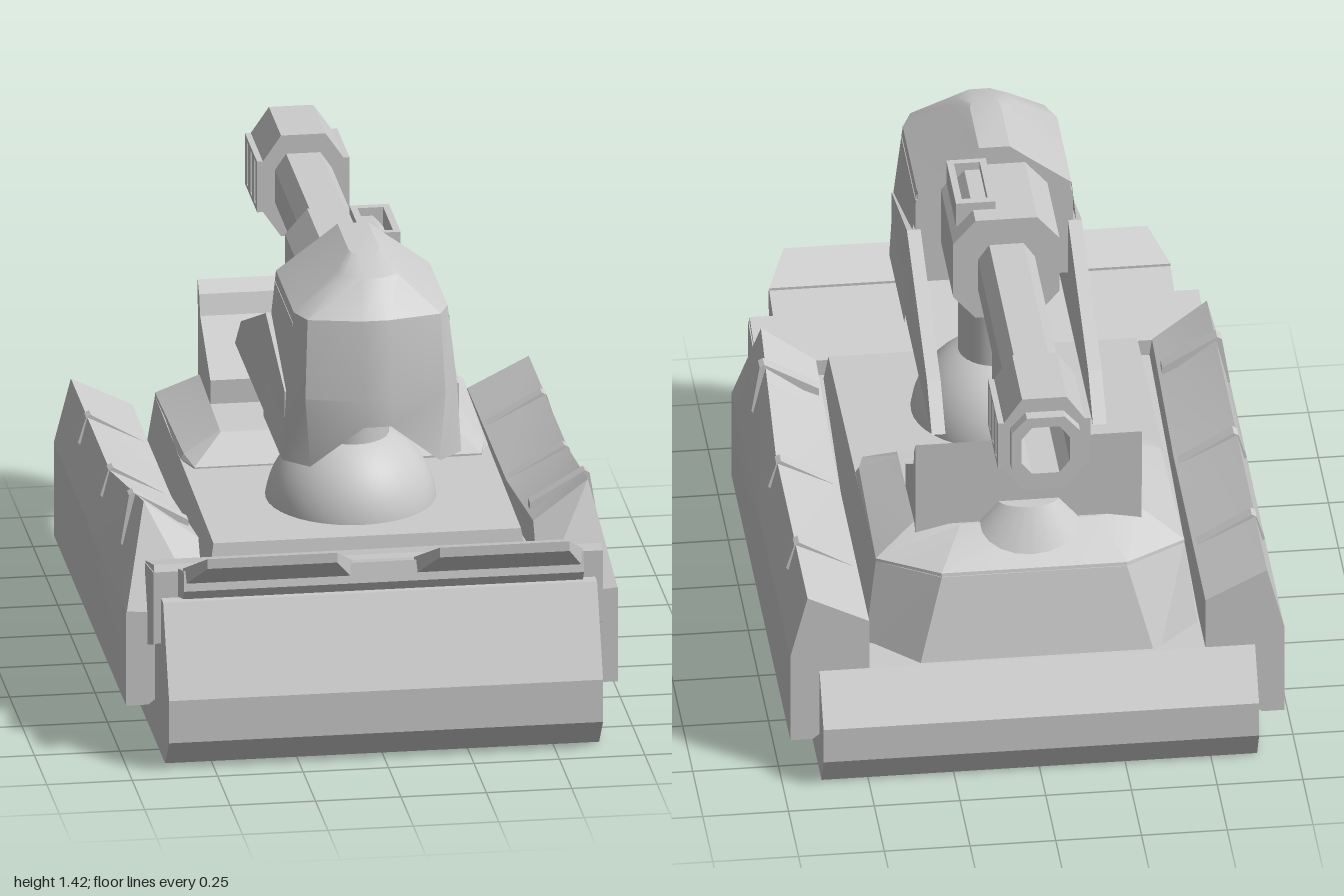
import * as THREE from 'three';
import { toCreasedNormals } from 'three/addons/utils/BufferGeometryUtils.js';

const mat = new THREE.MeshStandardMaterial({ color: 0xcccccc, side: THREE.DoubleSide });

export function createModel() {
  const root = new THREE.Group();
  const add = (name, geo, x = 0, y = 0, z = 0) => {
    const m = new THREE.Mesh(geo, mat);
    m.name = name;
    m.position.set(x, y, z);
    root.add(m);
    return m;
  };
  const box = (w, h, d) => new THREE.BoxGeometry(w, h, d);
  const shape = (pts) => new THREE.Shape(pts.map((p) => new THREE.Vector2(p[0], p[1])));
  const hole = (pts) => new THREE.Path(pts.map((p) => new THREE.Vector2(p[0], p[1])));
  const extrude = (s, depth) => new THREE.ExtrudeGeometry(s, { depth, bevelEnabled: false });
  // [z, y] outline swept along x, and [x, y] outline swept along z
  const prismX = (s, x0, x1) => extrude(s, x1 - x0).rotateY(-Math.PI / 2).translate(x1, 0, 0);
  const prismZ = (s, z0, z1) => extrude(s, z1 - z0).translate(0, 0, z0);
  // closed cross-section loops joined in order, wound outward
  const loft = (rings, crease = 0.25, open = false) => {
    const n = rings[0].length, idx = [];
    const v = rings.flat().map((p) => new THREE.Vector3(...p));
    for (let r = 0; r < rings.length - 1; r++) {
      for (let i = 0; i < (open ? n - 1 : n); i++) {
        const a = r * n + i, b = r * n + (i + 1) % n;
        idx.push(a, b, b + n, a, b + n, a + n);
      }
    }
    const last = (rings.length - 1) * n;
    for (let i = 1; i < n - 1; i++) {
      idx.push(0, i + 1, i);
      if (!open) idx.push(last, last + i, last + i + 1);
    }
    const c = v.reduce((s, p) => s.add(p), new THREE.Vector3()).divideScalar(v.length);
    const d = v.map((p) => p.clone().sub(c));
    let vol = 0;
    for (let i = 0; i < idx.length; i += 3) {
      vol += d[idx[i]].dot(d[idx[i + 1]].clone().cross(d[idx[i + 2]]));
    }
    if (vol < 0) idx.reverse();
    const g = new THREE.BufferGeometry().setFromPoints(v);
    g.setIndex(idx);
    return toCreasedNormals(g, crease);
  };
  // box outline with chamfered corners: w, h half sizes; fx, fy half lengths of the flats
  const octagon = (w, h, fx, fy, cy) => [[w, -fy], [w, fy], [fx, h], [-fx, h],
    [-w, fy], [-w, -fy], [-fx, -h], [fx, -h]].map(([x, y]) => [x, y + cy]);
  const mirrorLoop = (half) => [...half, ...half.slice().reverse().map(([x, y, z]) => [-x, y, z])];

  // Hull
  add('hull', prismX(shape([[0.87, 0], [0.95, 0.09], [0.95, 0.22], [0.83, 0.48], [0.6, 0.48],
    [-0.6, 0.34], [-0.79, 0.34], [-0.89, 0.2], [-0.89, 0.09], [-0.84, 0]]), -0.635, 0.635));

  // Deck with a raised rear platform
  add('deck', loft([
    mirrorLoop([[0.49, 0.3, 0.61], [0.49, 0.3, -0.65], [0.35, 0.3, -0.79]]),
    mirrorLoop([[0.45, 0.56, 0.57], [0.45, 0.59, -0.61], [0.27, 0.59, -0.72]]),
  ]));
  add('rearPlatform', loft([
    mirrorLoop([[0.42, 0.56, -0.02], [0.45, 0.58, -0.1], [0.45, 0.58, -0.61], [0.27, 0.58, -0.72]]),
    mirrorLoop([[0.42, 0.58, -0.02], [0.44, 0.595, -0.1], [0.45, 0.6, -0.61], [0.27, 0.6, -0.715]]),
    mirrorLoop([[0.33, 0.65, -0.115], [0.33, 0.652, -0.14], [0.33, 0.675, -0.54], [0.2, 0.68, -0.58]]),
  ]));
  add('rearFin', prismX(shape([[-0.32, 0.62], [-0.32, 0.735], [-0.525, 0.86], [-0.545, 0.92],
    [-0.575, 0.955], [-0.57, 0.62]]), -0.33, 0.33));
  add('rearMound', new THREE.CylinderGeometry(0.09, 0.21, 0.14, 24), 0, 0.675, -0.56).scale.z = 0.6;

  // Side skirts with straps
  for (const s of [1, -1]) {
    const section = (z, top, xTop, inner) => [[0.63, 0.13], [0.655, 0.11], [0.72, 0.11], [0.72, 0.395],
      [xTop, top], [0.49, inner], [0.49, 0.3], [0.63, 0.3]].map(([x, y]) => [x * s, y, z]);
    add('sideSkirt', loft([section(-0.79, 0.59, 0.67, 0.5), section(0, 0.59, 0.67, 0.5),
      section(0.54, 0.69, 0.65, 0.57), section(0.67, 0.4, 0.718, 0.38)]));
    for (const [z, top] of [[0.39, 0.662], [-0.025, 0.59], [-0.475, 0.59]]) {
      const strap = shape([[0.5, 0.48], [0.69, 0.505], [0.698, 0.515], [0.674, top],
        [0.66, top + 0.008], [0.5, top - 0.085]].map(([x, y]) => [x * s, y]));
      add('skirtStrap', prismZ(strap, z - 0.02, z + 0.02));
    }
  }

  // Front beam, its end brackets and the split front lip
  add('frontBeam', prismX(shape([[0.6, 0.53], [0.78, 0.58], [0.79, 0.56], [0.79, 0.47], [0.6, 0.47]]),
    -0.655, 0.655));
  add('lipBase', prismX(shape([[0.78, 0.48], [0.89, 0.51], [0.91, 0.54], [0.9, 0.6], [0.78, 0.565]]),
    -0.585, 0.585));
  for (const s of [1, -1]) {
    add('beamBracket', prismX(shape([[0.79, 0.56], [0.79, 0.34], [0.67, 0.295], [0.62, 0.3], [0.62, 0.53]]),
      s * 0.64 - 0.018, s * 0.64 + 0.018));
    const lip = (z, x0, x1, y0, y1) => [[x0, y0], [x1, y0], [x1, y1], [x0, y1]].map(([x, y]) => [x * s, y, z]);
    add('frontLip', loft([lip(0.89, 0.09, 0.585, 0.55, 0.605), lip(1, 0.15, 0.53, 0.64, 0.67)]));
  }

  // Turret mount
  add('mountDome', new THREE.SphereGeometry(0.25, 40, 20, 0, Math.PI * 2, 0, Math.PI / 2), 0, 0.54, 0.235);
  add('neck', new THREE.CylinderGeometry(0.11, 0.11, 0.32, 32), 0, 0.88, 0.24);
  add('pistonRod', new THREE.CylinderGeometry(0.024, 0.024, 0.2, 16), 0, 0.66, 0.045);
  add('pistonSleeve', new THREE.CylinderGeometry(0.034, 0.034, 0.36, 16), 0, 0.9, 0.045);

  // Turret shell, rows from crown to rim: y, side x, side z, corner x, corner z, front x, front y, front z
  const rows = [
    [1.42, 0.045, 0.5, 0.04, 0.53, 0.02, 1.42, 0.54],
    [1.385, 0.09, 0.58, 0.08, 0.63, 0.03, 1.385, 0.66],
    [1.285, 0.225, 0.64, 0.195, 0.71, 0.04, 1.285, 0.745],
    [1.05, 0.25, 0.66, 0.205, 0.735, 0.04, 1.05, 0.785],
    [0.84, 0.262, 0.66, 0.19, 0.73, 0.04, 0.97, 0.78],
  ];
  add('turretShell', loft(rows.map(([y, sx, sz, cx, cz, fx, fy, fz]) =>
    mirrorLoop([[sx, y, 0.28], [sx, y, sz], [cx, y, cz], [fx, fy, fz]])), 0.5, true));
  add('turretCore', box(0.46, 0.28, 0.36), 0, 1.115, 0.465);
  add('turretBack', prismZ(shape([[-0.24, 1], [0.24, 1], [0.222, 1.285], [0.045, 1.418],
    [-0.045, 1.418], [-0.222, 1.285]]), 0.285, 0.3));
  const blade = shape([[0.66, 0.84], [0.66, 1.05], [0.28, 1.155], [-0.22, 0.95], [-0.34, 0.84]]);
  for (const x of [0.235, -0.235]) add('turretBlade', prismX(blade, x - 0.02, x + 0.02));

  // Gun housing with a framed hatch on one side
  add('gunHousing', prismZ(shape(octagon(0.155, 0.165, 0.09, 0.09, 1.195)), -0.02, 0.29));
  const hatch = shape([[0.025, 0.04], [0.14, 0.04], [0.14, 0.28], [0.025, 0.28]]);
  hatch.holes.push(hole([[0.045, 0.065], [0.12, 0.065], [0.12, 0.26], [0.045, 0.26]]));
  add('hatchFrame', extrude(hatch, 0.075).rotateX(Math.PI / 2).translate(0, 1.385, 0));

  // Barrel and muzzle brake
  add('barrel', prismZ(shape(octagon(0.083, 0.098, 0.05, 0.05, 1.177)), -0.75, 0));
  const bored = (outer) => {
    const s = shape(outer);
    s.holes.push(hole(octagon(0.07, 0.078, 0.04, 0.04, 1.177)));
    return s;
  };
  add('muzzleBrake', prismZ(bored(octagon(0.118, 0.155, 0.065, 0.078, 1.177)), -0.965, -0.72));
  add('muzzleTip', prismZ(bored(octagon(0.1, 0.11, 0.055, 0.06, 1.177)), -1, -0.96));
  const cheek = shape([[-0.965, 1.099], [-0.72, 1.099], [-0.72, 1.255], [-0.965, 1.255]]);
  for (const z of [-0.77, -0.84, -0.915]) {
    cheek.holes.push(hole([[z - 0.013, 1.112], [z + 0.013, 1.112], [z + 0.013, 1.242], [z - 0.013, 1.242]]));
  }
  for (const x of [0.126, -0.126]) add('muzzleVents', prismX(cheek, x - 0.009, x + 0.009));

  return root;
}
